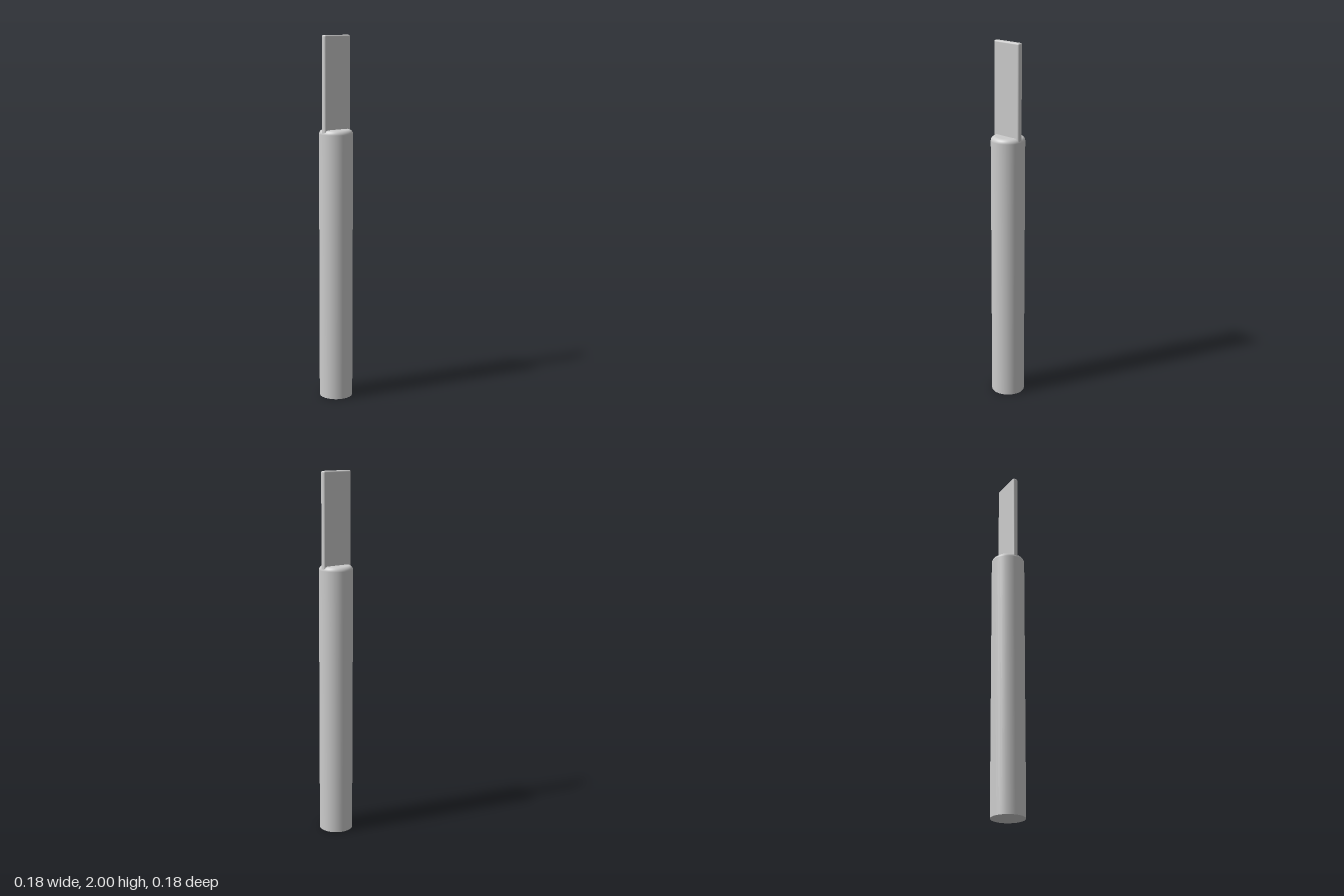
import * as THREE from 'three';
import { RoundedBoxGeometry } from 'three/addons/geometries/RoundedBoxGeometry.js';

const RADIUS = 0.092, HANDLE_HEIGHT = 1.5, FILLET = 0.025;

export function createModel() {
  const model = new THREE.Group();
  const material = new THREE.MeshStandardMaterial({ color: 0xcccccc });
  const add = (geometry, name, y = 0) => {
    const mesh = new THREE.Mesh(geometry, material);
    mesh.name = name;
    mesh.position.y = y;
    model.add(mesh);
  };

  // Round handle: straight wall, filleted top rim and flat top
  const profile = [new THREE.Vector2(RADIUS, 0)];
  for (let i = 0; i <= 8; i++) {
    const a = (i / 8) * Math.PI / 2;
    profile.push(new THREE.Vector2(
      RADIUS - FILLET + FILLET * Math.cos(a),
      HANDLE_HEIGHT - FILLET + FILLET * Math.sin(a)));
  }
  profile.push(new THREE.Vector2(0, HANDLE_HEIGHT));
  add(new THREE.LatheGeometry(profile, 64), 'handle');

  // Flat underside with a crisp edge
  add(new THREE.CircleGeometry(RADIUS, 64).rotateX(Math.PI / 2), 'handleBase');

  // Thin blade with softened edges, seated in the handle
  const bottom = 1.4, height = 2 - bottom;
  add(new RoundedBoxGeometry(0.18, height, 0.031, 4, 0.009), 'blade', bottom + height / 2);

  return model;
}
